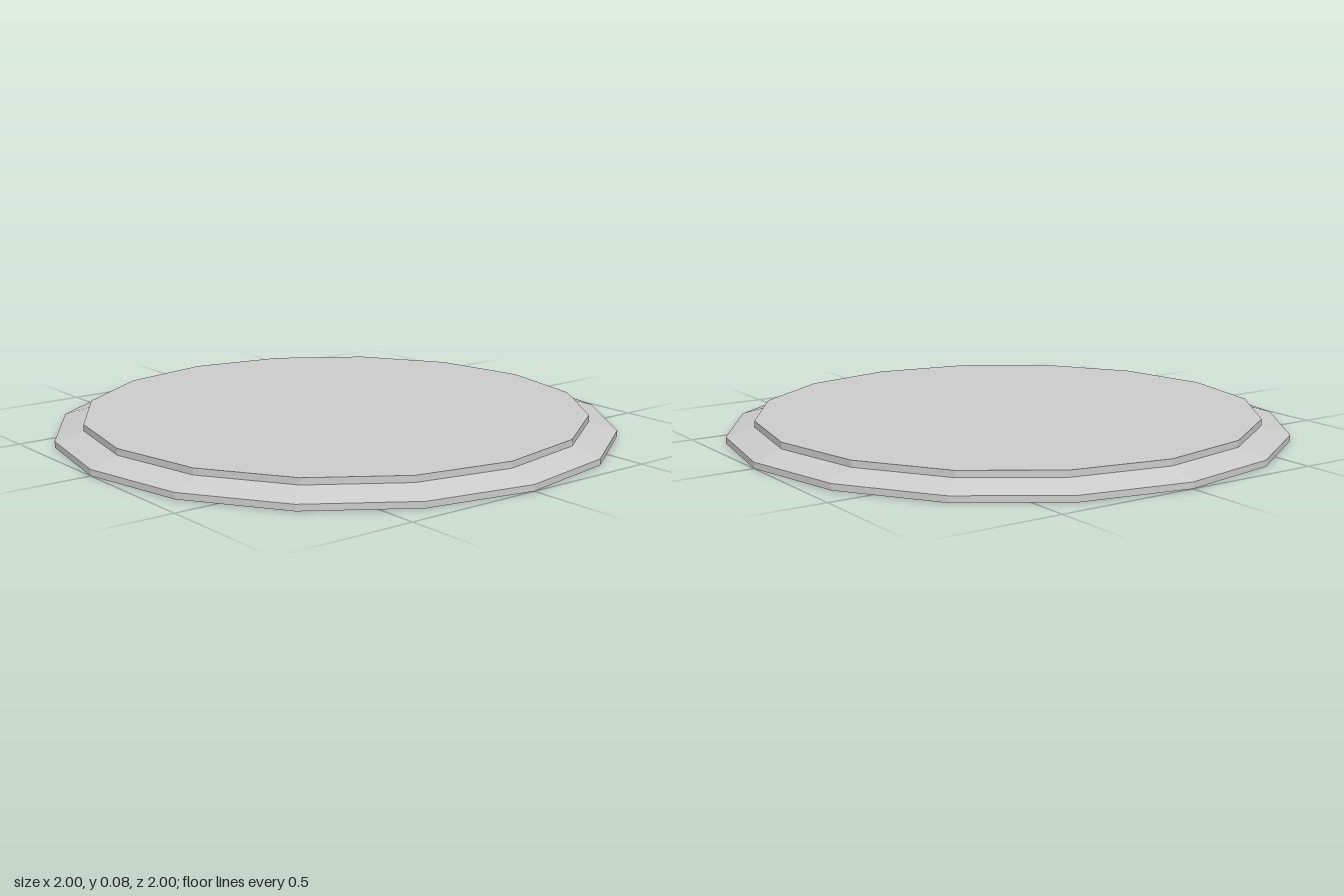
import * as THREE from 'three';

const SIDES = 16;

export function createModel() {
  const model = new THREE.Group();
  model.name = 'roundPlate';
  const material = new THREE.MeshStandardMaterial({ color: 0xcccccc, flatShading: true });

  // Turns a bottom-to-top profile of [radius, height] pairs into a faceted part
  const addTurned = (name, profile) => {
    const points = profile.map(([r, y]) => new THREE.Vector2(r, y));
    const mesh = new THREE.Mesh(new THREE.LatheGeometry(points, SIDES), material);
    mesh.name = name;
    model.add(mesh);
  };

  // Flat underside, short vertical edge and sloping rim
  addTurned('base', [[0, 0], [1, 0], [1, 0.022], [0.9, 0.052]]);

  // Raised disc with a low upright wall
  addTurned('raisedTop', [[0.9, 0.052], [0.9, 0.075], [0, 0.075]]);

  return model;
}
